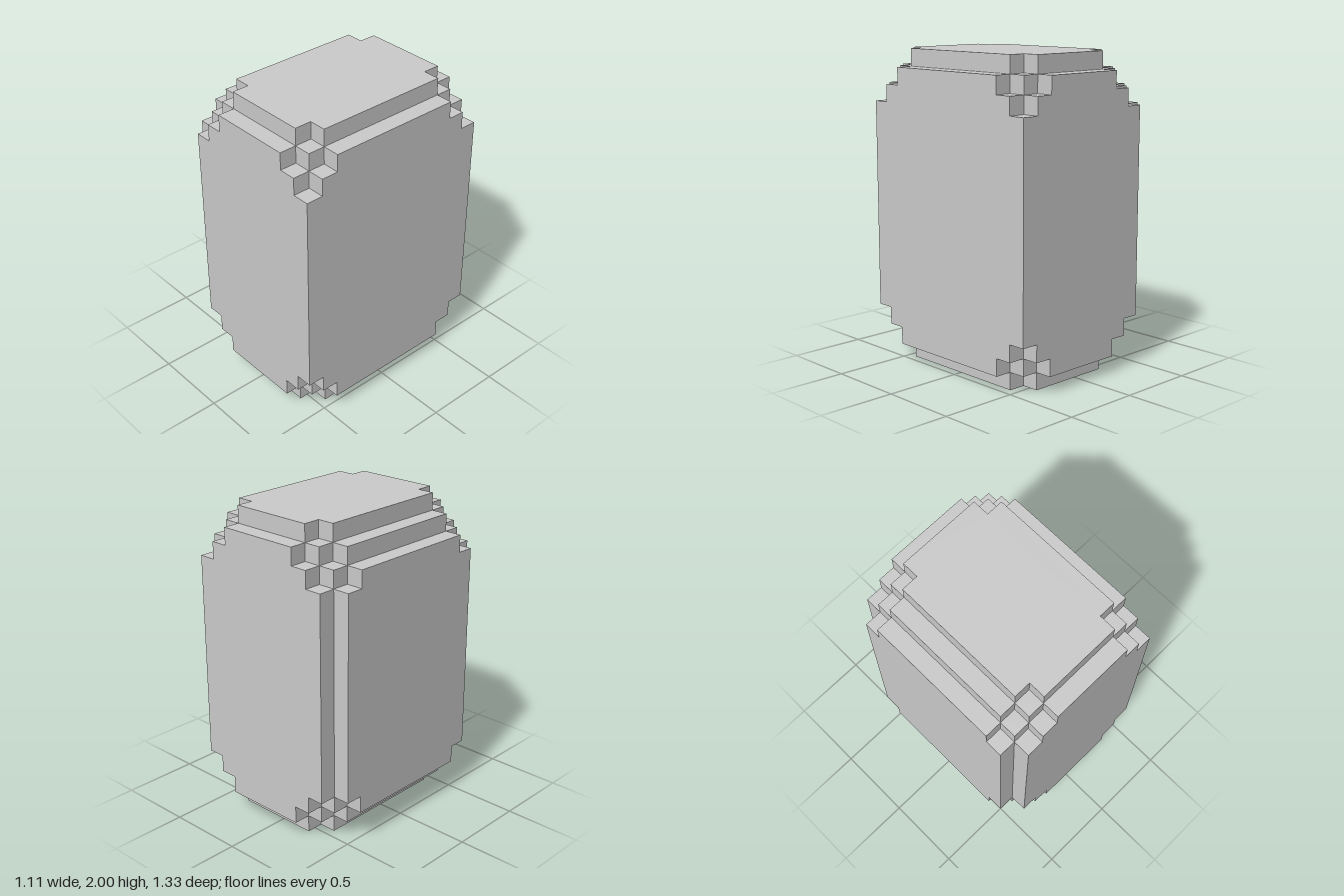
import * as THREE from 'three';

const U = 1 / 9; // size of one block

// Stepped plan outline from rows [z extent, min x, max x], outermost z first, mirrored in z.
function planShape(rows) {
  const right = [], left = [];
  rows.forEach(([z, x0, x1], i) => {
    right.push([x1, z]);
    left.push([x0, z]);
    if (i < rows.length - 1) {
      const next = rows[i + 1][0];
      right.push([x1, next]);
      left.push([x0, next]);
    }
  });
  const flip = (pts) => pts.map(([x, z]) => [x, -z]).reverse();
  const outline = [...right, ...flip(right), ...flip(left).reverse(), ...left.reverse()];
  return new THREE.Shape(outline.map(([x, z]) => new THREE.Vector2(x * U, z * U)));
}

export function createModel() {
  const group = new THREE.Group();
  group.name = 'steppedBlock';
  const material = new THREE.MeshStandardMaterial({ color: 0xcccccc, flatShading: true });

  const addLayer = (name, rows, y0, y1) => {
    const geometry = new THREE.ExtrudeGeometry(planShape(rows), { depth: (y1 - y0) * U, bevelEnabled: false });
    geometry.rotateX(-Math.PI / 2);
    const mesh = new THREE.Mesh(geometry, material);
    mesh.name = name;
    mesh.position.y = y0 * U;
    group.add(mesh);
  };

  // Tall middle, notched along its two right-hand vertical edges
  addLayer('body', [[6, -4, 5], [5, -5, 5]], 3, 15);

  // Stepped layers, from the body outwards, mirrored at top and bottom
  const layers = [
    ['shoulder', [[6, -3, 4], [5, -4, 5], [4, -5, 5]]],
    ['step', [[6, -2, 3], [5, -3, 4], [4, -4, 5]]],
    ['cap', [[5, -2, 3], [4, -3, 4]]],
  ];
  layers.forEach(([name, rows], i) => {
    addLayer(name + 'Top', rows, 15 + i, 16 + i);
    addLayer(name + 'Bottom', rows, 2 - i, 3 - i);
  });
  return group;
}
